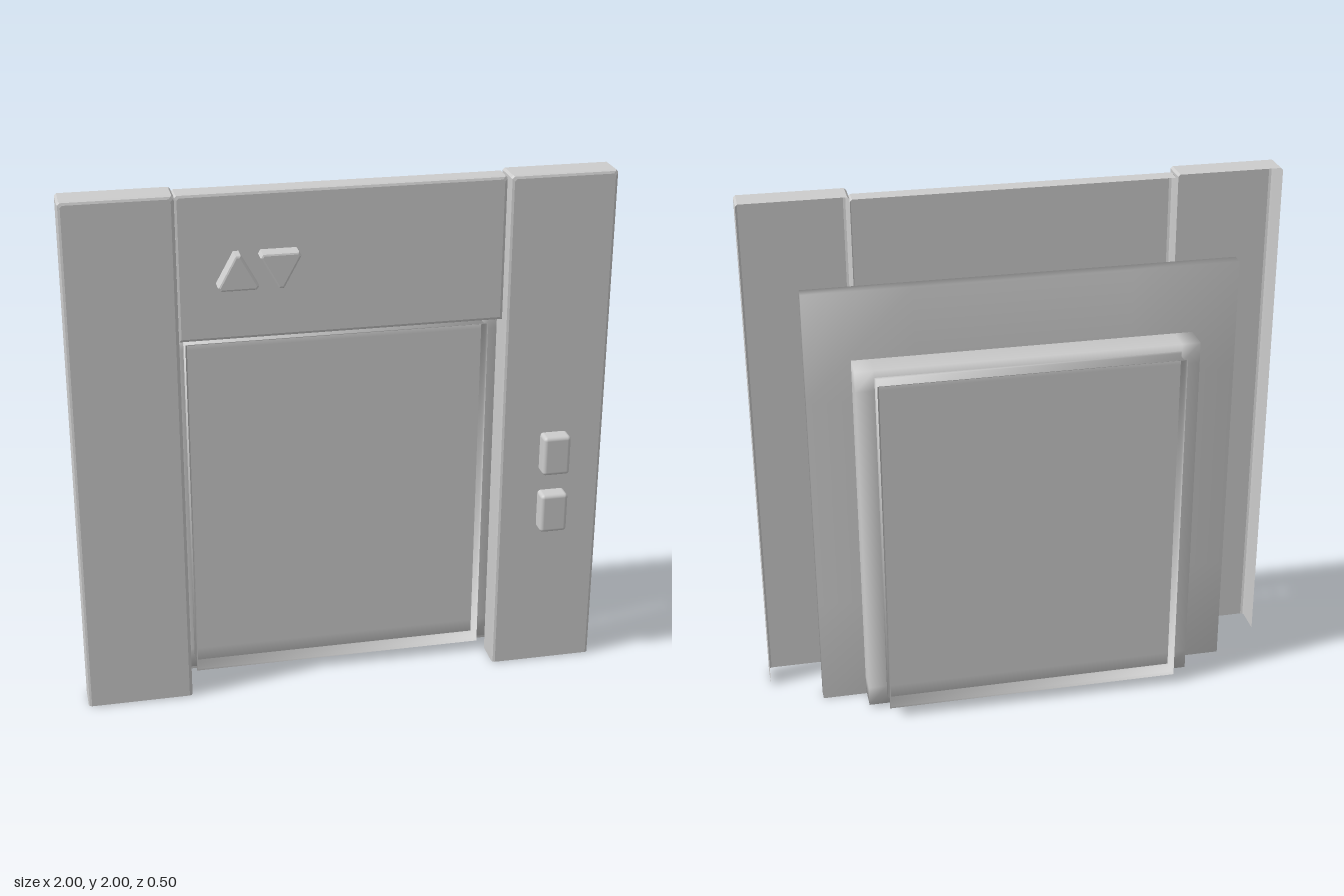
import * as THREE from 'three';
import { mergeVertices } from 'three/addons/utils/BufferGeometryUtils.js';
import { RoundedBoxGeometry } from 'three/addons/geometries/RoundedBoxGeometry.js';

// Joins matching open or closed sections with quads, with an optional flat cap on the last one
function loft(sections, closed, cap) {
  const n = sections[0].length;
  const index = [];
  for (let s = 0; s < sections.length - 1; s++) {
    for (let i = 0; i < (closed ? n : n - 1); i++) {
      const a = s * n + i, b = s * n + (i + 1) % n;
      index.push(a, a + n, b, b, a + n, b + n);
    }
  }
  const k = (sections.length - 1) * n;
  for (let i = 1; cap && i < n - 1; i++) index.push(k, k + i + 1, k + i);
  const geo = new THREE.BufferGeometry();
  geo.setAttribute('position', new THREE.Float32BufferAttribute(sections.flat(2), 3));
  geo.setIndex(index);
  return geo;
}

// Hollow casing with an open back, softened front edges and an optional bottom wall
function casing(x0, x1, y0, y1, z0, z1, hasBottom) {
  const b = 0.012, c = 0.008;
  const section = (inset, z) => {
    const l = x0 + inset, r = x1 - inset, top = y1 - inset;
    const low = hasBottom ? y0 + inset : y0;
    return [[l, low, z], [l, top - c, z], [l + c, top, z], [r - c, top, z], [r, top - c, z], [r, low, z]];
  };
  const rounded = [section(0, z1 - b), section(b * 0.3, z1 - b * 0.3), section(b, z1)];
  const geo = loft([section(0, z0), ...rounded], hasBottom, true).toNonIndexed();
  geo.computeVertexNormals();
  return geo;
}

// Box whose shading flows smoothly over its edges
function softBox(w, h, d, segments) {
  const geo = new THREE.BoxGeometry(w, h, d, segments, segments, 1);
  geo.deleteAttribute('normal');
  geo.deleteAttribute('uv');
  const merged = mergeVertices(geo);
  merged.computeVertexNormals();
  return merged;
}

// Trim ring whose sheet bows inwards across its depth
function trimRing(z0, z1) {
  const sections = [];
  for (let i = 0; i <= 12; i++) {
    const t = i / 12;
    const bow = 0.009 * Math.sqrt(Math.max(0, Math.sin(Math.PI * t)));
    const w = 0.567 - bow, h = 0.683 - bow, cy = 0.724;
    const z = THREE.MathUtils.lerp(z0, z1, t);
    sections.push([[-w, cy - h, z], [-w, cy + h, z], [w, cy + h, z], [w, cy - h, z]]);
  }
  const geo = loft(sections, true, false);
  geo.computeVertexNormals();
  return geo;
}

// Triangular lamp with clipped corners and a small bevel
function arrowGeometry(pointsUp) {
  const s = pointsUp ? 1 : -1, b = 0.008;
  const outline = [[-0.06, -0.057], [0.06, -0.057], [0.064, -0.05], [0.005, 0.057], [-0.005, 0.057], [-0.064, -0.05]];
  const shape = new THREE.Shape(outline.map(([x, y]) => new THREE.Vector2(x * s, y * s)));
  return new THREE.ExtrudeGeometry(shape, {
    depth: 0.052, bevelEnabled: true, bevelSize: b, bevelThickness: b, bevelSegments: 2
  });
}

export function createModel() {
  const group = new THREE.Group();
  const grey = new THREE.MeshStandardMaterial({ color: 0xcccccc, side: THREE.DoubleSide });
  grey.name = 'light grey';

  const add = (name, geo, x = 0, y = 0, z = 0) => {
    const mesh = new THREE.Mesh(geo, grey);
    mesh.name = name;
    mesh.position.set(x, y, z);
    group.add(mesh);
  };

  // Front surround
  add('rightPillar', casing(-1, -0.6, 0.004, 2, 0.065, 0.18, false));
  add('leftPillar', casing(0.6, 1, 0.004, 2, 0.065, 0.18, false));
  add('header', casing(-0.6, 0.6, 1.445, 1.99, 0.065, 0.141, true));

  // Backing panel and the door slab passing through it
  add('backPanel', softBox(1.61, 1.7, 0.05, 4), 0, 0.85, -0.047);
  add('doorSlab', softBox(1.274, 1.42, 0.162, 18), 0, 0.725, -0.094);

  // Trim rings on both faces of the door
  add('frontTrim', trimRing(-0.015, 0.065));
  add('backTrim', trimRing(-0.252, -0.175));

  // Direction lamps on the header
  add('upArrow', arrowGeometry(true), -0.388, 1.715, 0.15);
  add('downArrow', arrowGeometry(false), -0.236, 1.715, 0.15);

  // Call buttons on the pillar
  for (const y of [0.68, 0.92]) {
    add('callButton', new RoundedBoxGeometry(0.106, 0.158, 0.069, 3, 0.015), 0.802, y, 0.2155);
  }
  return group;
}
